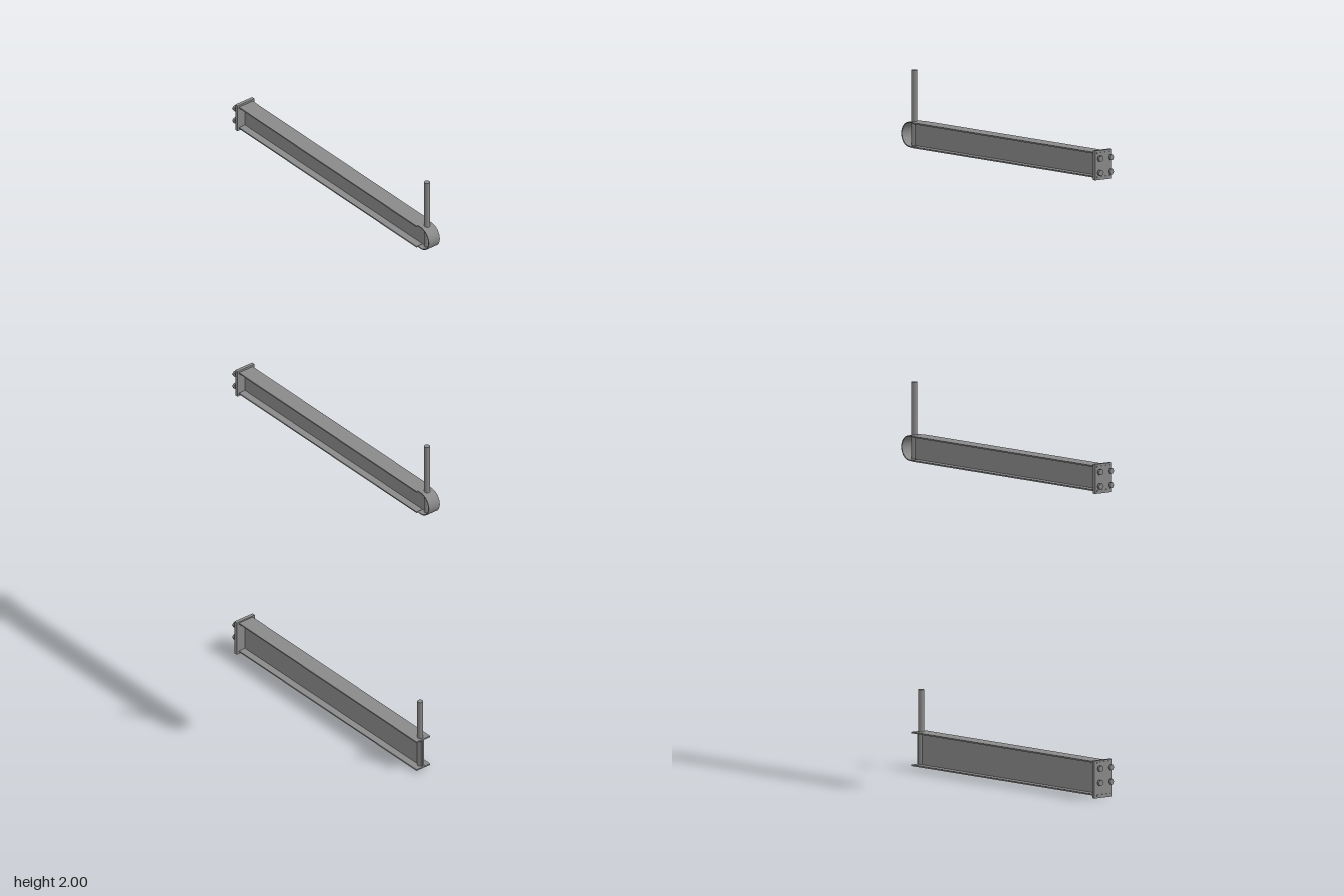
import * as THREE from 'three';

const steel = new THREE.MeshStandardMaterial({ color: 0x898989 });

function add(parent, name, geometry, x, y, z = 0) {
  const mesh = new THREE.Mesh(geometry, steel);
  mesh.name = name;
  mesh.position.set(x, y, z);
  parent.add(mesh);
  return mesh;
}

// Box given by its x and y limits and its full depth in z
function slab(parent, name, x0, x1, y0, y1, depth) {
  add(parent, name, new THREE.BoxGeometry(x1 - x0, y1 - y0, depth), (x0 + x1) / 2, (y0 + y1) / 2);
}

// U-shaped strap that curls round the free end of a beam
function strapGeometry(radius, thickness, tail, width) {
  const s = new THREE.Shape();
  const r = radius - thickness;
  s.moveTo(-tail, -radius);
  s.lineTo(0, -radius);
  s.absarc(0, 0, radius, -Math.PI / 2, Math.PI / 2, false);
  s.lineTo(-tail, radius);
  s.lineTo(-tail, r);
  s.lineTo(0, r);
  s.absarc(0, 0, r, Math.PI / 2, -Math.PI / 2, true);
  s.lineTo(-tail, -r);
  const g = new THREE.ExtrudeGeometry(s, { depth: width, bevelEnabled: false, curveSegments: 16 });
  return g.translate(0, 0, -width / 2);
}

function createBeam({ name, y0, y1, plate, plateWidth, boltY, rodX, rodTop, curled }) {
  const beam = new THREE.Group();
  beam.name = name;
  const t = 0.004, x0 = -0.424, x1 = 0.387;

  // I-section
  slab(beam, 'topFlange', x0, x1, y1 - t, y1, 0.05);
  slab(beam, 'bottomFlange', x0, x1, y0, y0 + t, 0.05);
  slab(beam, 'web', x0, curled ? 0.404 : x1, y0 + t, y1 - t, 0.006);

  // Rounded end
  if (curled) {
    add(beam, 'endStrap', strapGeometry((y1 - y0) / 2, 0.003, 0.014, 0.04), 0.4, (y0 + y1) / 2);
  }

  // Hanger rod
  const rodBottom = y0 + t;
  add(beam, 'hangerRod', new THREE.CylinderGeometry(0.0085, 0.0085, rodTop - rodBottom, 20),
    rodX, (rodTop + rodBottom) / 2);

  // End plate with four bolt heads standing off it
  slab(beam, 'endPlate', -0.422, -0.412, plate[0], plate[1], plateWidth);
  for (const y of boltY) {
    for (const z of [-0.021, 0.021]) {
      add(beam, 'boltHead', new THREE.CylinderGeometry(0.009, 0.009, 0.007, 6), -0.4335, y, z)
        .rotation.z = Math.PI / 2;
    }
  }
  return beam;
}

export function createModel() {
  const model = new THREE.Group();
  model.name = 'bracketBeams';

  // Two matching curled beams
  [['middleBeam', 0.88, 1.105], ['upperBeam', 1.78, 2]].forEach(([name, y0, rodTop]) => {
    model.add(createBeam({
      name, y0, y1: y0 + 0.073, plate: [y0 - 0.006, y0 + 0.079], plateWidth: 0.062,
      boltY: [y0 + 0.016, y0 + 0.057], rodX: 0.403, rodTop, curled: true,
    }));
  });

  // Deeper square-ended beam
  model.add(createBeam({
    name: 'lowerBeam', y0: 0.006, y1: 0.104, plate: [0, 0.108], plateWidth: 0.066,
    boltY: [0.045, 0.086], rodX: 0.373, rodTop: 0.225, curled: false,
  }));
  return model;
}
